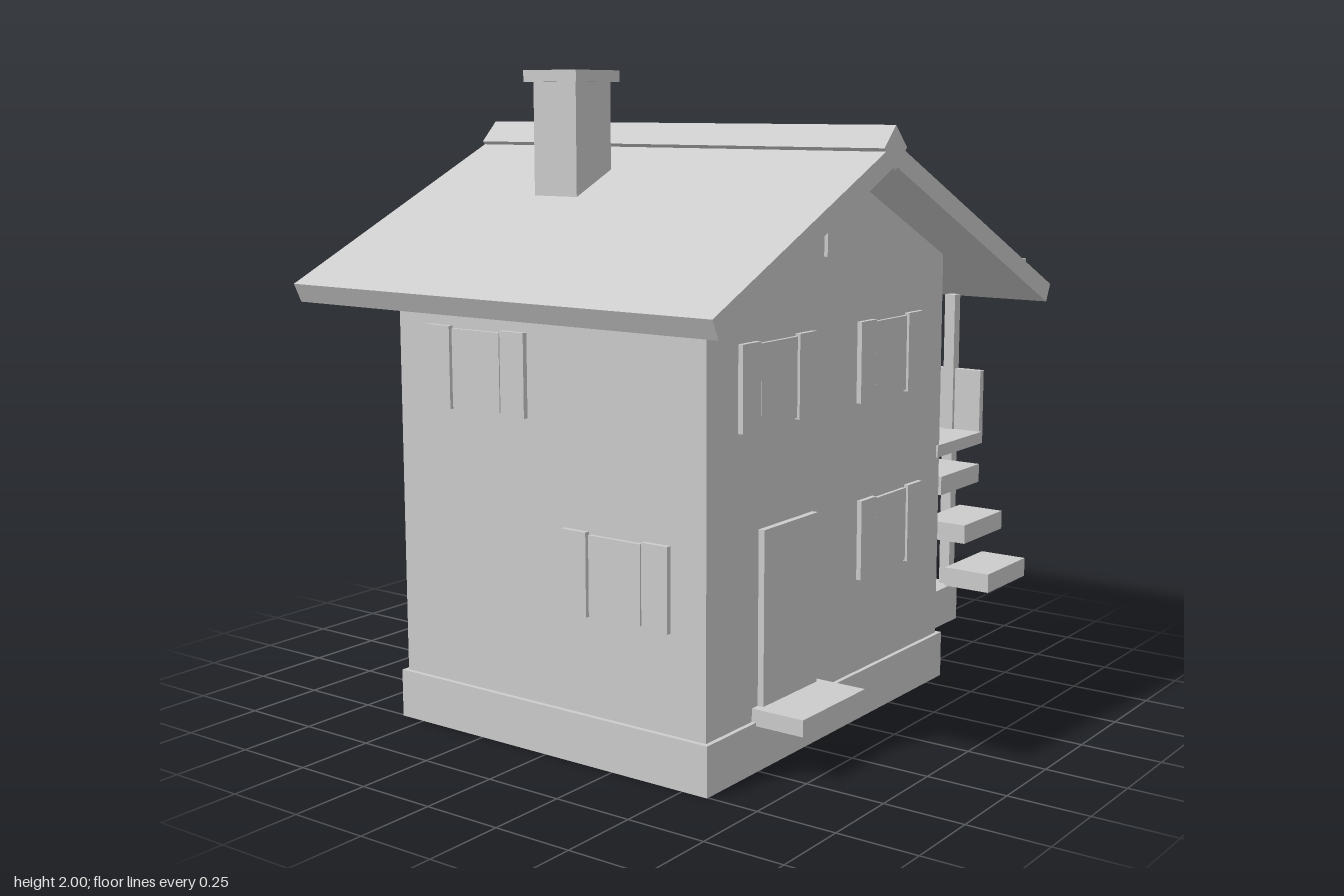
import * as THREE from 'three';

const plaster = new THREE.MeshStandardMaterial({ color: 0xcccccc });
plaster.name = 'plain grey';

// Box given by its limits on each axis
function box(name, x0, x1, y0, y1, z0, z1) {
  const mesh = new THREE.Mesh(new THREE.BoxGeometry(x1 - x0, y1 - y0, z1 - z0), plaster);
  mesh.position.set((x0 + x1) / 2, (y0 + y1) / 2, (z0 + z1) / 2);
  mesh.name = name;
  return mesh;
}

// Outline in the xy plane, extruded evenly to both sides of z = 0
function prism(name, points, halfDepth) {
  const shape = new THREE.Shape(points.map(([x, y]) => new THREE.Vector2(x, y)));
  const geometry = new THREE.ExtrudeGeometry(shape, { depth: halfDepth * 2, bevelEnabled: false });
  geometry.translate(0, 0, -halfDepth);
  const mesh = new THREE.Mesh(geometry, plaster);
  mesh.name = name;
  return mesh;
}

// Window pane between two shutters, facing +z before turning
function shutteredWindow(name, x, y, z, turn) {
  const group = new THREE.Group();
  group.name = name;
  group.add(
    box('pane', -0.093, 0.093, -0.118, 0.118, -0.01, 0.012),
    box('leftShutter', 0.1, 0.19, -0.125, 0.125, -0.01, 0.016),
    box('rightShutter', -0.19, -0.1, -0.125, 0.125, -0.01, 0.016)
  );
  group.position.set(x, y, z);
  group.rotation.y = turn;
  return group;
}

export function createModel() {
  const house = new THREE.Group();
  house.name = 'house';
  const W0 = -0.74, W1 = 0.58, D = 0.572;
  const ridgeX = -0.08;

  // Plinth and gabled walls
  house.add(
    box('plinth', -0.755, 0.595, 0, 0.15, -0.586, 0.586),
    prism('walls', [[W0, 0.1], [W1, 0.1], [W1, 1.425], [ridgeX, 1.73], [W0, 1.425]], D)
  );

  // Roof, ridge cap and eave beams
  house.add(prism('roof', [
    [ridgeX, 1.725], [0.953, 1.243], [0.98, 1.3], [ridgeX, 1.792],
    [-0.985, 1.37], [-0.958, 1.314]
  ], 0.765));
  const ridge = box('ridgeCap', -0.046, 0.046, -0.046, 0.046, -0.765, 0.765);
  ridge.position.set(ridgeX, 1.776, 0);
  ridge.rotation.z = Math.PI / 4;
  house.add(
    ridge,
    box('rightEaveBeam', 0.735, 0.79, 1.355, 1.4, -0.764, 0.764),
    box('leftEaveBeam', -0.89, -0.83, 1.345, 1.39, -0.764, 0.764)
  );

  // Chimney
  house.add(
    box('chimney', -0.44, -0.275, 1.5, 1.965, -0.285, -0.12),
    box('chimneyCap', -0.463, -0.255, 1.965, 2, -0.305, -0.1)
  );

  // Front door, doorstep and attic window
  house.add(
    box('door', -0.485, -0.2, 0.19, 0.71, 0.56, 0.592),
    box('doorstep', -0.515, -0.175, 0.14, 0.19, 0.56, 0.746),
    box('atticWindow', -0.15, -0.01, 1.46, 1.595, 0.56, 0.584)
  );

  // Shuttered windows on all four walls
  const upper = 1.125, lower = 0.57, quarter = Math.PI / 2;
  house.add(
    shutteredWindow('frontUpperRightWindow', -0.4, upper, D, 0),
    shutteredWindow('frontUpperLeftWindow', 0.235, upper, D, 0),
    shutteredWindow('frontLowerWindow', 0.248, lower, D, 0),
    shutteredWindow('leftUpperWindow', W1, upper, 0.26, quarter),
    shutteredWindow('leftLowerWindow', W1, lower, -0.255, quarter),
    shutteredWindow('rightUpperWindow', W0, upper, -0.255, -quarter),
    shutteredWindow('rightLowerWindow', W0, lower, 0.26, -quarter),
    shutteredWindow('backWindow', -0.08, upper, -D, Math.PI)
  );

  // Side porch with posts and railing panel
  house.add(
    box('porchFloor', 0.56, 0.895, 0.11, 0.24, -0.48, 0.485),
    box('porchRailing', 0.888, 0.905, 0.235, 0.455, -0.465, 0.2)
  );
  for (const z of [0.455, 0, -0.455]) {
    house.add(box('porchPost', 0.855, 0.893, 0.24, 1.255, z - 0.019, z + 0.019));
  }

  // Landing with its panel, and floating steps
  house.add(
    box('landing', 0.56, 0.878, 0.75, 0.79, 0.24, 0.578),
    box('landingRailing', 0.868, 0.893, 0.788, 1, 0.255, 0.57)
  );
  for (let i = 0; i < 3; i++) {
    const y = 0.315 + i * 0.152, z = 0.6 - i * 0.09;
    house.add(box('stairStep', 0.585, 0.855, y, y + 0.062, z, z + 0.16));
  }
  return house;
}
